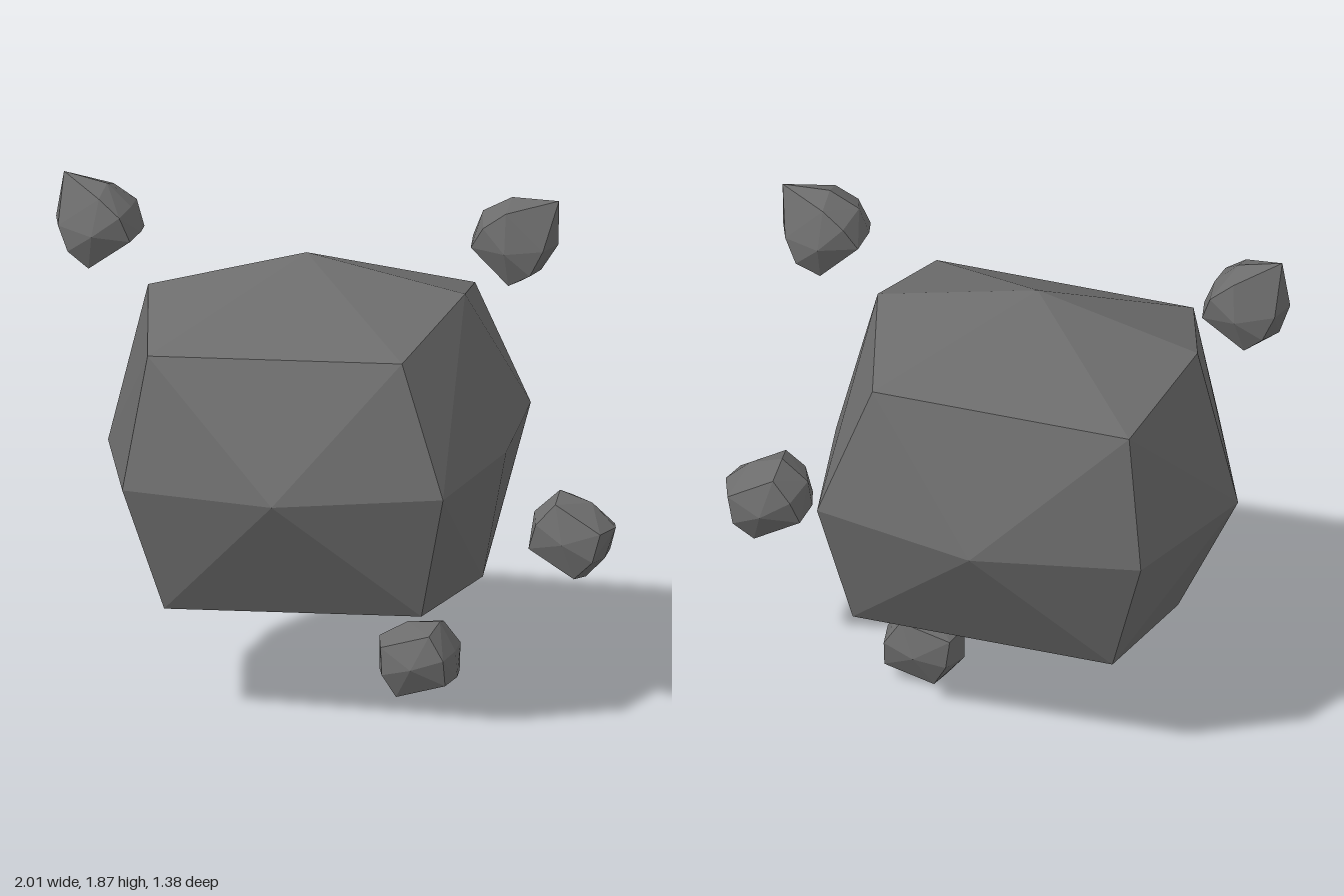
import * as THREE from 'three';

const stone = new THREE.MeshStandardMaterial({ color: 0x6c6c6c, flatShading: true });
stone.name = 'grey stone';

const CENTRE_Y = 0.95;

// Position of one vertex of the 3x3x3 block; sx, sy, sz are -1, 0 or 1
function boulderPoint(sx, sy, sz, peak) {
  const row = sy + 1;
  const half = (sz ? [0.465, 0.58, 0.46] : [0.57, 0.72, 0.573])[row];
  const mid = (sz ? [-0.035, -0.045, -0.1] : [-0.05, -0.115, -0.117])[row];
  const x = mid + sx * half;
  const top = sz ? 1.345 : sx ? 1.455 : peak;
  const y = [0.42, 0.88, top][row] + 0.063 * x;
  const z = sz * (sy ? 0.458 : sx ? 0.55 : 0.69) - 0.01;
  return new THREE.Vector3(x, y, z);
}

// Faceted boulder; a high peak pulls the top centre into a spike
function boulderGeometry(peak = 1.59) {
  const geo = new THREE.BoxGeometry(2, 2, 2, 2, 2, 2);
  const pos = geo.attributes.position;
  const pts = [];
  for (let i = 0; i < pos.count; i++) {
    const p = boulderPoint(Math.round(pos.getX(i)), Math.round(pos.getY(i)), Math.round(pos.getZ(i)), peak);
    p.y -= CENTRE_Y;
    pos.setXYZ(i, p.x, p.y, p.z);
    pts.push(p);
  }
  // Split every quad along its outer diagonal so the facets stay convex
  const old = geo.index.array;
  const index = [];
  const reach = (i, j) => pts[i].clone().add(pts[j]).length();
  for (let i = 0; i < old.length; i += 6) {
    const a = old[i], b = old[i + 1], d = old[i + 2], c = old[i + 4];
    if (reach(a, c) > reach(b, d)) index.push(a, b, c, a, c, d);
    else index.push(a, b, d, b, c, d);
  }
  geo.setIndex(index);
  geo.clearGroups();
  const flat = geo.toNonIndexed();
  flat.computeVertexNormals();
  return flat;
}

export function createModel() {
  const model = new THREE.Group();
  model.name = 'floatingStones';

  const add = (name, geometry, position, scale = 1, tilt = 0, pitch = 0) => {
    const mesh = new THREE.Mesh(geometry, stone);
    mesh.name = name;
    mesh.position.set(...position);
    mesh.scale.setScalar(scale);
    mesh.rotation.set(pitch, 0, THREE.MathUtils.degToRad(tilt));
    model.add(mesh);
  };

  // Large central boulder
  add('body', boulderGeometry(), [0, CENTRE_Y, 0]);

  // Spiked stones floating above the shoulders
  const spiked = boulderGeometry(2.04);
  add('rightEar', spiked, [-0.85, 1.637, 0.015], 0.2, 33);
  add('leftEar', spiked, [0.66, 1.7, 0.015], 0.2, -47);

  // Plain stones floating at the side and underneath
  const pebble = boulderGeometry();
  add('sidePebble', pebble, [0.857, 0.63, -0.025], 0.205, -33, -0.1);
  add('lowerPebble', pebble, [0.295, 0.137, -0.033], 0.2, 14);

  return model;
}
